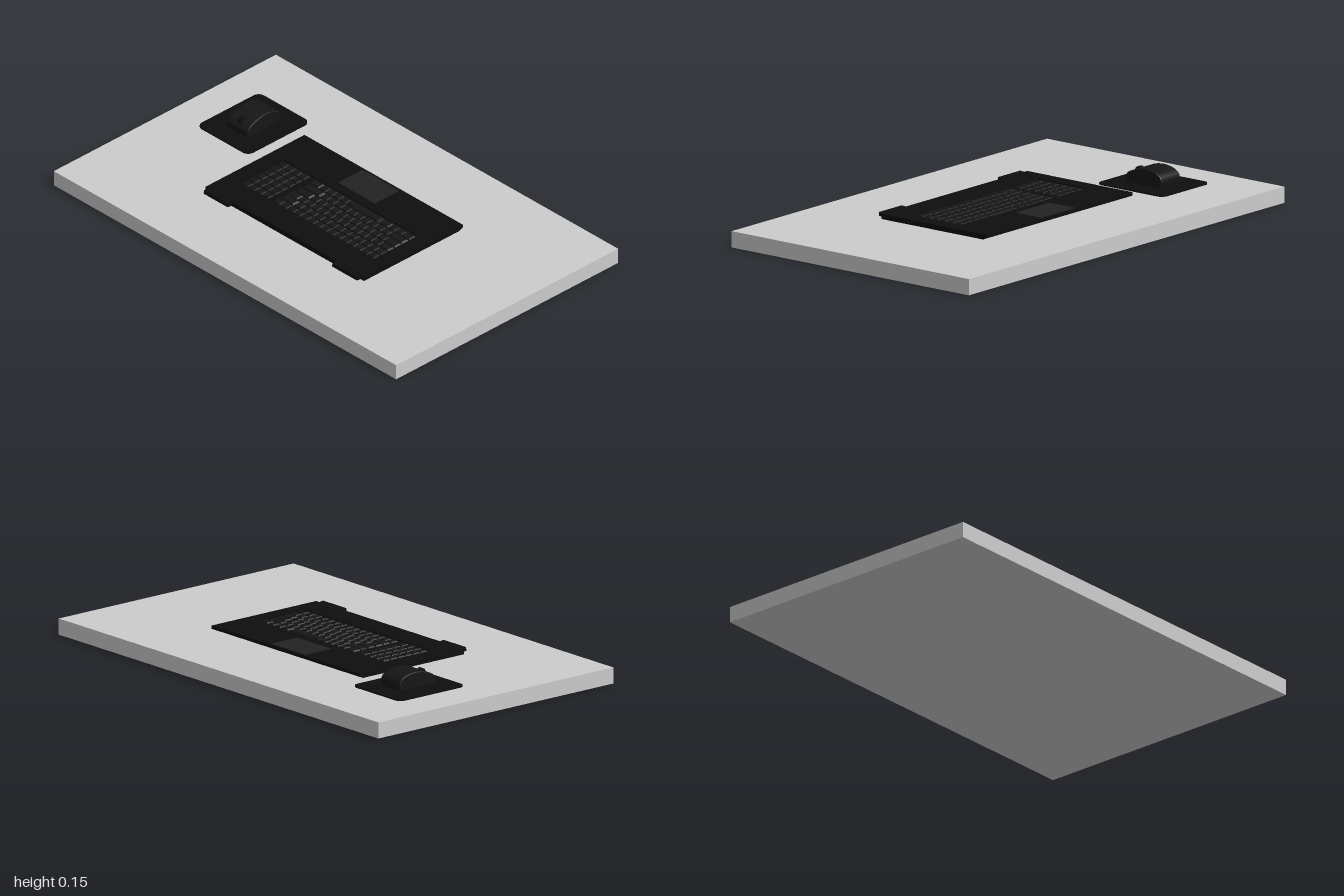
import * as THREE from 'three';

const mat = (color) => new THREE.MeshStandardMaterial({ color });
const GREY = mat(0xcccccc), BLACK = mat(0x0e0e0e), KEY = mat(0x161616), PAD = mat(0x222222);

function add(parent, name, geometry, material) {
  const mesh = new THREE.Mesh(geometry, material);
  mesh.name = name;
  parent.add(mesh);
  return mesh;
}

// Box given by its min and max on each axis
function box(parent, name, material, [x0, x1], [y0, y1], [z0, z1]) {
  const mesh = add(parent, name, new THREE.BoxGeometry(x1 - x0, y1 - y0, z1 - z0), material);
  mesh.position.set((x0 + x1) / 2, (y0 + y1) / 2, (z0 + z1) / 2);
  return mesh;
}

// Key cap with a slightly narrower top
function keyCap(parent, x, z, w, d) {
  const geo = new THREE.BoxGeometry(w, 0.005, d);
  const p = geo.attributes.position;
  for (let i = 0; i < p.count; i++) {
    if (p.getY(i) > 0) p.setXYZ(i, p.getX(i) * 0.85, p.getY(i), p.getZ(i) * 0.85);
  }
  geo.computeVertexNormals();
  add(parent, 'key', geo, KEY).position.set(x, 0.0885, z);
}

function createKeys() {
  const keys = new THREE.Group();
  keys.name = 'keys';
  const pitch = 0.04, unit = 0.0395, gap = 0.005, startX = -0.144;
  const ones = (n) => Array(n).fill(1);
  // Key widths in units, from the user's left (+z) to right (-z)
  const rows = [
    ones(15),
    [...ones(13), 2],
    [1.5, ...ones(12), 1.5],
    [1.75, ...ones(11), 2.25],
    [2.25, ...ones(10), 2.75],
    [1.25, 1, 1, 1.25, 5, 1, 1, 1, 1, 1.5],
  ];
  rows.forEach((widths, r) => {
    let z = 0.39;
    const total = widths.reduce((a, b) => a + b, 0);
    const scale = 0.59 / total;
    for (const w of widths) {
      keyCap(keys, startX + r * pitch, z - w * scale / 2, pitch - gap, w * scale - gap);
      z -= w * scale;
    }
    // Number pad
    for (let c = 0; c < 4; c++) {
      keyCap(keys, startX + r * pitch, -0.247 - c * unit, pitch - gap, unit - gap);
    }
  });
  return keys;
}

function createLaptop() {
  const laptop = new THREE.Group();
  laptop.name = 'laptop';
  // Body profile in x/y with an undercut front edge; a sunken well holds the keys
  const zMin = -0.465, zMax = 0.46, floor = 0.086, top = 0.091;
  const profile = new THREE.Shape([
    [-0.285, 0.069], [0.25, 0.069], [0.27, 0.077], [0.27, floor], [-0.285, floor],
  ].map(([x, y]) => new THREE.Vector2(x, y)));
  const body = new THREE.ExtrudeGeometry(profile, { depth: zMax - zMin, bevelEnabled: false });
  add(laptop, 'body', body, BLACK).position.z = zMin;

  const rect = (C, x0, x1, z0, z1) => {
    const s = new C();
    s.moveTo(x0, -z1); s.lineTo(x1, -z1); s.lineTo(x1, -z0); s.lineTo(x0, -z0); s.closePath();
    return s;
  };
  const deck = rect(THREE.Shape, -0.285, 0.27, zMin, zMax);
  deck.holes.push(rect(THREE.Path, -0.17, 0.082, -0.397, 0.397));
  const deckGeo = new THREE.ExtrudeGeometry(deck, { depth: top - floor, bevelEnabled: false });
  deckGeo.rotateX(-Math.PI / 2);
  add(laptop, 'deck', deckGeo, BLACK).position.y = floor;

  laptop.add(createKeys());
  box(laptop, 'touchpad', PAD, [0.122, 0.26], [0.088, 0.0915], [-0.115, 0.1]);

  // Hinges at the rear edge, tilted a little
  for (const [z0, z1] of [[-0.45, -0.31], [0.3, 0.445]]) {
    const hinge = box(laptop, 'hinge', BLACK, [-0.31, -0.265], [0.073, 0.089], [z0, z1]);
    hinge.rotation.z = -0.12;
  }
  return laptop;
}

function createMousePad() {
  const x0 = 0.02, x1 = 0.37, z0 = -0.835, z1 = -0.535, r = 0.03;
  const s = new THREE.Shape();
  s.absarc(x1 - r, -z0 - r, r, 0, Math.PI / 2);
  s.absarc(x0 + r, -z0 - r, r, Math.PI / 2, Math.PI);
  s.absarc(x0 + r, -z1 + r, r, Math.PI, Math.PI * 1.5);
  s.absarc(x1 - r, -z1 + r, r, Math.PI * 1.5, Math.PI * 2);
  const geo = new THREE.ExtrudeGeometry(s, { depth: 0.006, bevelEnabled: false, curveSegments: 8 });
  geo.rotateX(-Math.PI / 2);
  const pad = new THREE.Mesh(geo, BLACK);
  pad.name = 'mousePad';
  pad.position.y = 0.071;
  return pad;
}

function createMouse() {
  const mouse = new THREE.Group();
  mouse.name = 'mouse';
  // Side outline in x/y, swept across the width
  const s = new THREE.Shape();
  s.moveTo(0.1, 0.077);
  s.lineTo(0.285, 0.077);
  s.lineTo(0.29, 0.09);
  s.splineThru([
    [0.29, 0.108], [0.282, 0.124], [0.262, 0.137], [0.232, 0.145], [0.2, 0.147],
    [0.165, 0.142], [0.14, 0.133], [0.115, 0.122], [0.1, 0.106],
  ].map(([x, y]) => new THREE.Vector2(x, y)));
  s.closePath();
  const bevel = 0.004;
  const geo = new THREE.ExtrudeGeometry(s, {
    depth: 0.12 - 2 * bevel, curveSegments: 24,
    bevelThickness: bevel, bevelSize: bevel, bevelOffset: -bevel, bevelSegments: 2,
  });
  add(mouse, 'mouseBody', geo, KEY).position.z = -0.742 + bevel;

  // Scroll wheel between the buttons
  const wheel = add(mouse, 'scrollWheel', new THREE.CylinderGeometry(0.018, 0.018, 0.02, 20), BLACK);
  wheel.rotation.x = Math.PI / 2;
  wheel.position.set(0.129, 0.119, -0.682);
  return mouse;
}

export function createModel() {
  const model = new THREE.Group();
  model.name = 'deskWithLaptop';
  box(model, 'deskTop', GREY, [-0.624, 0.624], [0, 0.068], [-1, 1]);
  model.add(createLaptop(), createMousePad(), createMouse());
  return model;
}
